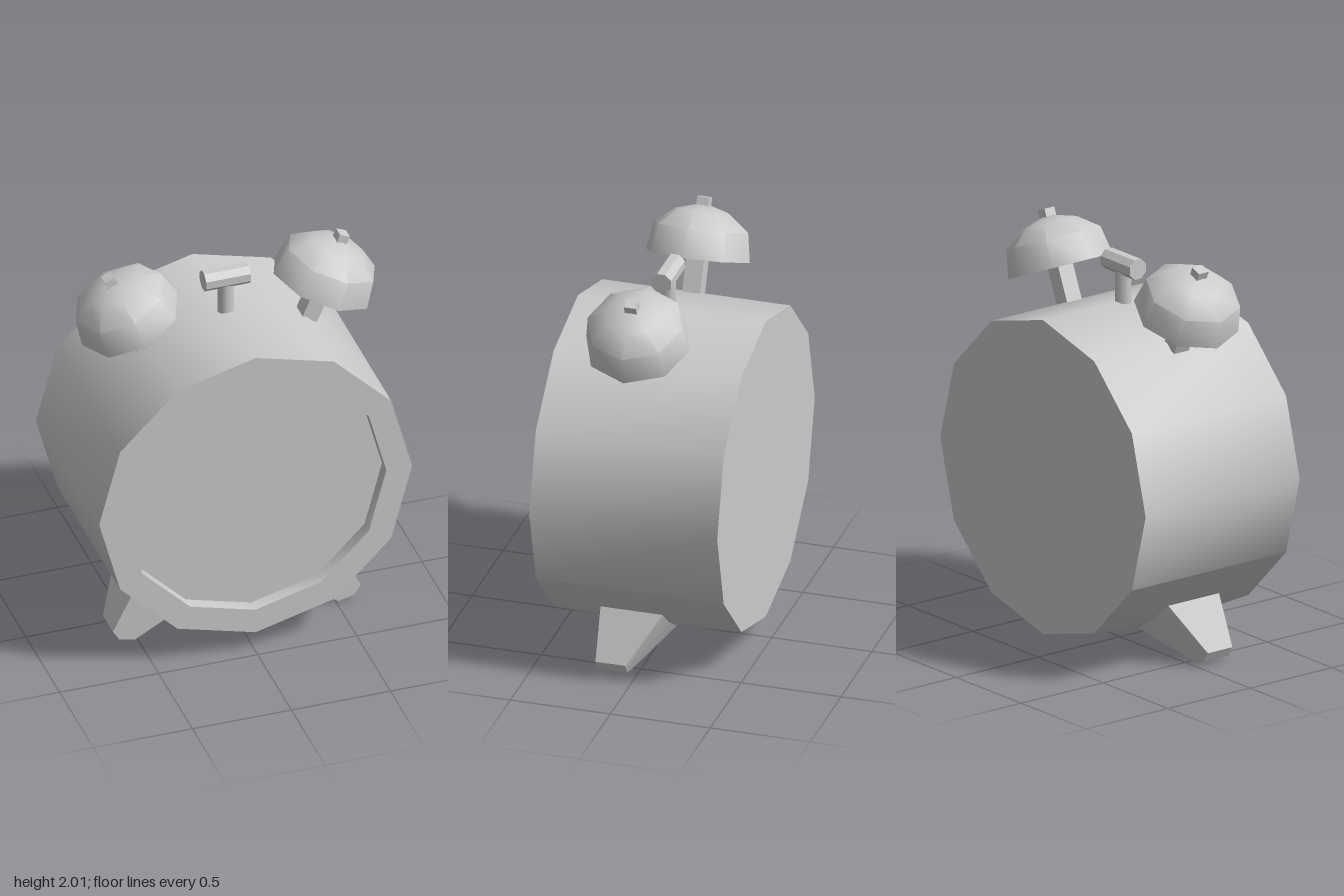
import * as THREE from 'three';
import { toCreasedNormals } from 'three/addons/utils/BufferGeometryUtils.js';
import { ConvexGeometry } from 'three/addons/geometries/ConvexGeometry.js';

const R = 0.79, HALF = 0.47, CY = 0.9, Z = 0.02;
const grey = new THREE.MeshStandardMaterial({ color: 0xcccccc, side: THREE.DoubleSide });

function add(parent, name, geometry, x = 0, y = 0, z = 0) {
  const mesh = new THREE.Mesh(geometry, grey);
  mesh.name = name;
  mesh.position.set(x, y, z);
  parent.add(mesh);
  return mesh;
}

function hull(points) {
  return toCreasedNormals(new ConvexGeometry(points.map(p => new THREE.Vector3(...p))), 0.6);
}

// Twelve-sided drum with a shallow dial recess; the profile runs back to front
function bodyGeometry() {
  const profile = [[0, -HALF], [R, -HALF], [R, HALF], [0.66, HALF], [0.66, HALF - 0.065], [0, HALF - 0.065]];
  const g = new THREE.LatheGeometry(profile.map(p => new THREE.Vector2(...p)), 12);
  g.rotateX(Math.PI / 2);
  return toCreasedNormals(g, 0.6);
}

// Hollow bell on a slanted post, with a small knob on top
function bell(side) {
  const g = new THREE.Group();
  g.name = side > 0 ? 'leftBell' : 'rightBell';
  const profile = [[0.26, 0], [0.235, 0.14], [0.135, 0.215], [0, 0.255]];
  add(g, 'dome', toCreasedNormals(new THREE.LatheGeometry(profile.map(p => new THREE.Vector2(...p)), 8), 0.95));
  add(g, 'post', new THREE.BoxGeometry(0.085, 0.42, 0.09), 0, 0.02, 0);
  add(g, 'knob', new THREE.BoxGeometry(0.055, 0.06, 0.06), 0, 0.255, 0);
  g.position.set(side * 0.483, 1.735, Z);
  g.rotation.z = -side * 0.4;
  return g;
}

// Tapered foot, plus the swollen underside panel that it grows from
function foot(side) {
  const g = new THREE.Group();
  g.name = side > 0 ? 'leftFoot' : 'rightFoot';
  // Each corner: x, y, front z, back z
  const corners = [
    [0.51, 0.31, 0.2, -0.11], [0.28, 0.14, 0.2, -0.11],
    [0.625, 0.07, 0.19, 0.04], [0.595, 0.02, 0.19, 0.04], [0.515, 0, 0.19, 0.04],
  ];
  const pair = ([x, y, front, back]) => [[side * x, y, front], [side * x, y, back]];
  add(g, 'leg', hull(corners.flatMap(pair)));
  const rim = [3, 4, 5, 6].map(i => {
    const a = i * Math.PI / 6;
    return [R * Math.sin(a), CY + R * Math.cos(a), HALF, -HALF];
  }).slice(1);
  add(g, 'undersidePanel', hull([...rim, corners[0], corners[1]].flatMap(pair)));
  return g;
}

export function createModel() {
  const model = new THREE.Group();
  model.name = 'alarmClock';
  add(model, 'body', bodyGeometry(), 0, CY, 0);

  for (const side of [-1, 1]) model.add(bell(side), foot(side));

  // Hammer between the bells
  const hammer = new THREE.Group();
  hammer.name = 'hammer';
  add(hammer, 'hammerStem', new THREE.CylinderGeometry(0.04, 0.04, 0.2, 8), 0, 1.75, Z);
  const head = new THREE.CylinderGeometry(0.053, 0.053, 0.226, 8);
  head.rotateY(Math.PI / 8).rotateZ(Math.PI / 2);
  add(hammer, 'hammerHead', toCreasedNormals(head, 0.6), 0, 1.873, Z);
  model.add(hammer);
  return model;
}
